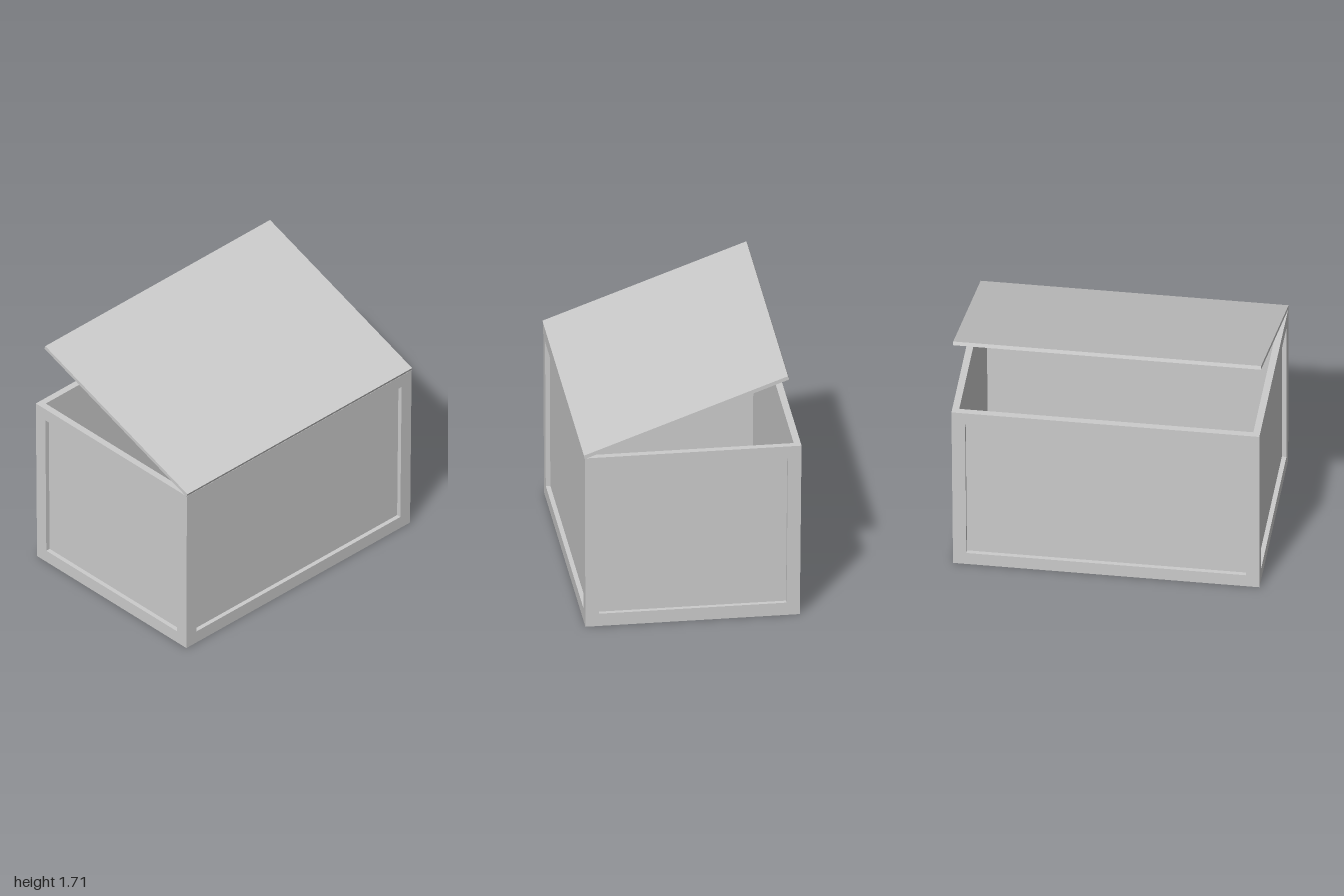
import * as THREE from 'three';

const W = 1.408, D = 2, H = 1.21;       // crate size at the rim
const WALL = 0.045, RECESS = 0.03, FRAME = 0.088;

export function createModel() {
  const group = new THREE.Group();
  group.name = 'crate';
  const material = new THREE.MeshStandardMaterial({ color: 0xcccccc, flatShading: true });

  const add = (name, geometry, parent = group) => {
    const mesh = new THREE.Mesh(geometry, material);
    mesh.name = name;
    parent.add(mesh);
    return mesh;
  };

  // Crate narrows slightly towards the floor
  const taper = (geometry) => {
    const p = geometry.attributes.position;
    for (let i = 0; i < p.count; i++) {
      const drop = 1 - p.getY(i) / H;
      p.setX(i, p.getX(i) * (1 - 0.011 * drop) - 0.0045 + 0.0025 * drop);
      p.setZ(i, p.getZ(i) * (1 - 0.005 * drop) + 0.004 * drop);
    }
    geometry.computeVertexNormals();
    return geometry;
  };

  // Wall frame around an opening, mitred at the corners, outer face at z = 0
  const frameGeometry = (width) => {
    const w = width / 2, h = w - FRAME;
    const shape = new THREE.Shape([[-w, 0], [w, 0], [w, H], [-w, H]].map(([x, y]) => new THREE.Vector2(x, y)));
    shape.holes.push(new THREE.Path([[-h, FRAME], [-h, H - FRAME], [h, H - FRAME], [h, FRAME]].map(([x, y]) => new THREE.Vector2(x, y))));
    const g = new THREE.ExtrudeGeometry(shape, { depth: WALL, bevelEnabled: false });
    g.translate(0, 0, -WALL);
    const p = g.attributes.position;
    for (let i = 0; i < p.count; i++) {
      const x = p.getX(i);
      if (p.getZ(i) < -WALL / 2 && Math.abs(x) > w - 0.001) p.setX(i, x - Math.sign(x) * WALL);
    }
    return g;
  };

  // Four walls, each a frame with a recessed panel
  const sides = [
    ['front', W, D / 2, 0],
    ['left', D, W / 2, Math.PI / 2],
    ['back', W, D / 2, Math.PI],
    ['right', D, W / 2, -Math.PI / 2],
  ];
  for (const [name, width, distance, angle] of sides) {
    const place = (g) => taper(g.translate(0, 0, distance).rotateY(angle));
    add(name + 'Frame', place(frameGeometry(width)));
    const panel = new THREE.BoxGeometry(width - 2 * FRAME, H - 2 * FRAME, WALL - RECESS);
    panel.translate(0, H / 2, -(WALL + RECESS) / 2);
    add(name + 'Panel', place(panel));
  }

  // Floor fitted between the walls
  const floor = new THREE.BoxGeometry(W - 2 * WALL, WALL, D - 2 * WALL);
  add('floor', taper(floor.translate(0, WALL / 2, 0)));

  // Lid hinged open along the left rim
  const hinge = new THREE.Group();
  hinge.name = 'lidHinge';
  hinge.position.set(0.696, 1.207, 0);
  hinge.rotation.z = -THREE.MathUtils.degToRad(20);
  group.add(hinge);
  const lidLength = 1.41, lidThickness = 0.025;
  add('lid', new THREE.BoxGeometry(lidLength, lidThickness, D), hinge)
    .position.set(-lidLength / 2, lidThickness / 2, 0);

  return group;
}
